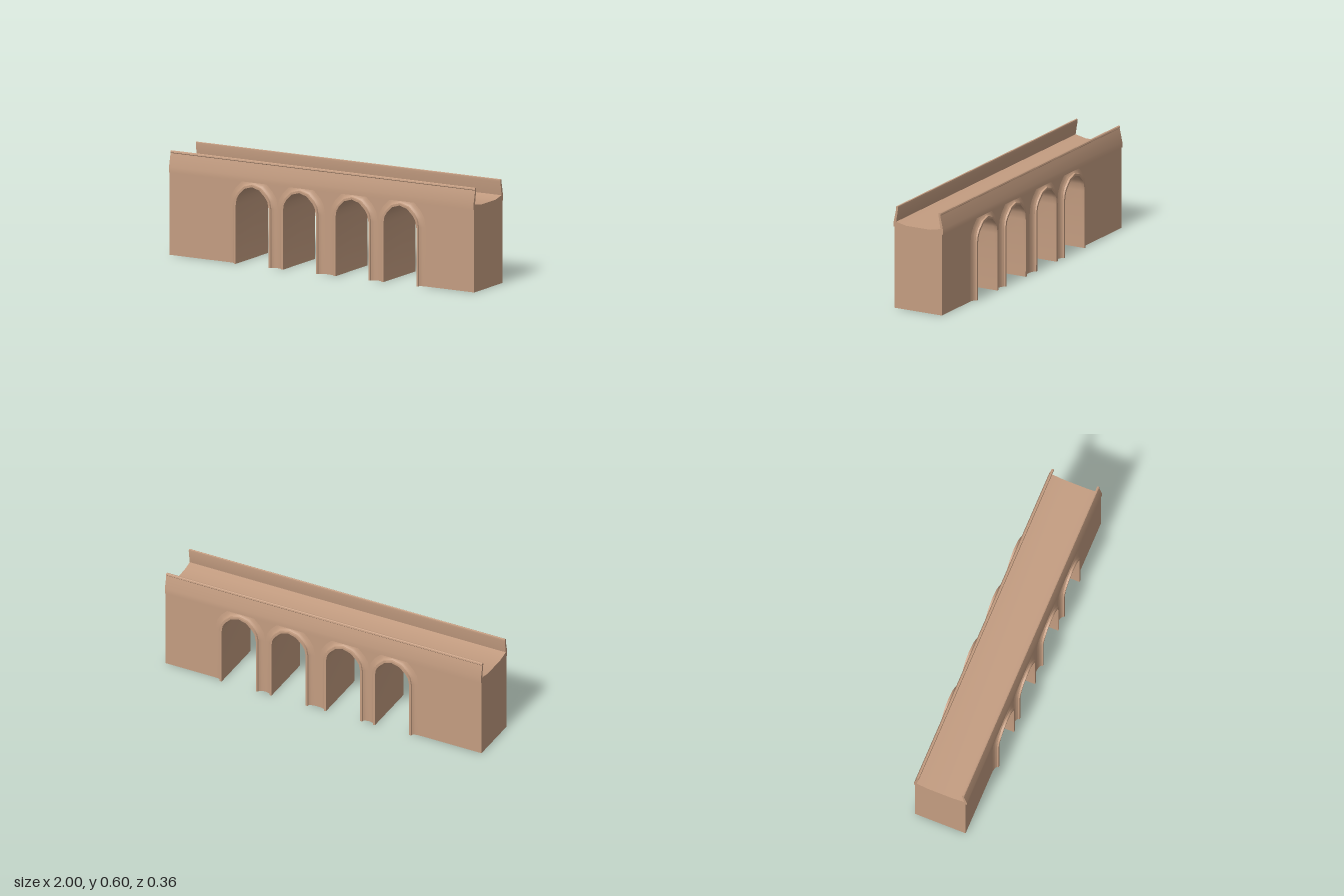
import * as THREE from 'three';
import { toCreasedNormals } from 'three/addons/utils/BufferGeometryUtils.js';

const ARCH_CENTRES = [-0.445, -0.135, 0.21, 0.525];
const WALL_Z = 0.153, WALL_TOP = 0.474;

// right half of an arch opening, from the foot to the crown
const HALF = [[0.108, 0], [0.108, 0.335], [0.101, 0.376], [0.085, 0.402], [0.048, 0.438], [0, 0.452]];
// whole opening, left foot over the crown to right foot
const ARCH = [...HALF.map(([x, y]) => [-x, y]), ...HALF.slice(0, -1).reverse()]
  .map(([x, y]) => new THREE.Vector2(x, y));
// rim section: distance from the opening, z
const RIM = [[0, 0.151], [0, 0.175], [0.012, 0.175], [0.0135, 0.166], [0.019, 0.161],
  [0.028, 0.157], [0.04, 0.154], [0.055, 0.152]];

// raised arch rim that sweeps back into the wall in a hollow curve
function rimGeometry() {
  const normalOf = (a, b) => new THREE.Vector2(-(b.y - a.y), b.x - a.x).normalize();
  const last = ARCH.length - 1;
  const rows = ARCH.map((p, i) => {
    const before = normalOf(ARCH[Math.max(i - 1, 0)], ARCH[Math.max(i, 1)]);
    const after = normalOf(ARCH[Math.min(i, last - 1)], ARCH[Math.min(i + 1, last)]);
    const n = before.clone().add(after).normalize();
    n.divideScalar(n.dot(before));
    return RIM.map(([d, z]) => {
      const lean = z > 0.17 ? 0.003 * THREE.MathUtils.clamp((p.y - 0.33) / 0.12, 0, 1) : 0;
      return [p.x + n.x * d, p.y + n.y * d, z + lean];
    });
  });
  const pos = [];
  const tri = (a, b, c) => pos.push(...a, ...b, ...c);
  for (let i = 0; i < last; i++) {
    for (let j = 0; j < RIM.length - 1; j++) {
      const a = rows[i][j], b = rows[i + 1][j], c = rows[i + 1][j + 1], d = rows[i][j + 1];
      tri(a, b, c);
      tri(a, c, d);
    }
  }
  // feet
  const s = rows[0], e = rows[last];
  for (let j = 1; j < RIM.length - 1; j++) {
    tri(s[0], s[j], s[j + 1]);
    tri(e[0], e[j + 1], e[j]);
  }
  const geo = new THREE.BufferGeometry();
  geo.setAttribute('position', new THREE.Float32BufferAttribute(pos, 3));
  return toCreasedNormals(geo, 0.6);
}

// wall with the arches cut up from the ground
function wallGeometry() {
  const shape = new THREE.Shape();
  shape.moveTo(-1, WALL_TOP);
  shape.lineTo(-1, 0);
  for (const cx of ARCH_CENTRES) for (const p of ARCH) shape.lineTo(cx + p.x, p.y);
  shape.lineTo(1, 0);
  shape.lineTo(1, WALL_TOP);
  const geo = new THREE.ExtrudeGeometry(shape, { depth: WALL_Z * 2, bevelEnabled: false });
  geo.translate(0, 0, -WALL_Z);
  return toCreasedNormals(geo, 0.6);
}

// channel-shaped deck with inward-leaning parapets and rolled copings
function deckGeometry() {
  const half = [[0.16, WALL_TOP], [0.16, 0.506], [0.143, 0.583], [0.146, 0.587], [0.144, 0.595],
    [0.139, 0.598], [0.132, 0.596], [0.131, 0.585], [0.144, 0.505], [0.077, 0.491]];
  const outline = [...half, ...half.map(([z, y]) => [-z, y]).reverse()];
  const shape = new THREE.Shape(outline.map(([z, y]) => new THREE.Vector2(z, y)));
  const geo = new THREE.ExtrudeGeometry(shape, { depth: 2, bevelEnabled: false });
  geo.translate(0, 0, -1);
  geo.rotateY(Math.PI / 2);
  return toCreasedNormals(geo, 0.3);
}

export function createModel() {
  const model = new THREE.Group();
  model.name = 'archedBridge';
  const stone = new THREE.MeshStandardMaterial({ color: 0xc49d81 });
  stone.name = 'tanStone';

  const add = (name, geo) => {
    const mesh = new THREE.Mesh(geo, stone);
    mesh.name = name;
    model.add(mesh);
    return mesh;
  };

  add('archedWall', wallGeometry());
  add('deckAndParapets', deckGeometry());

  // rims on both faces of every arch
  const rim = rimGeometry();
  for (const cx of ARCH_CENTRES) {
    add('frontArchRim', rim).position.x = cx;
    const back = add('backArchRim', rim);
    back.position.x = cx;
    back.rotation.y = Math.PI;
  }
  return model;
}
